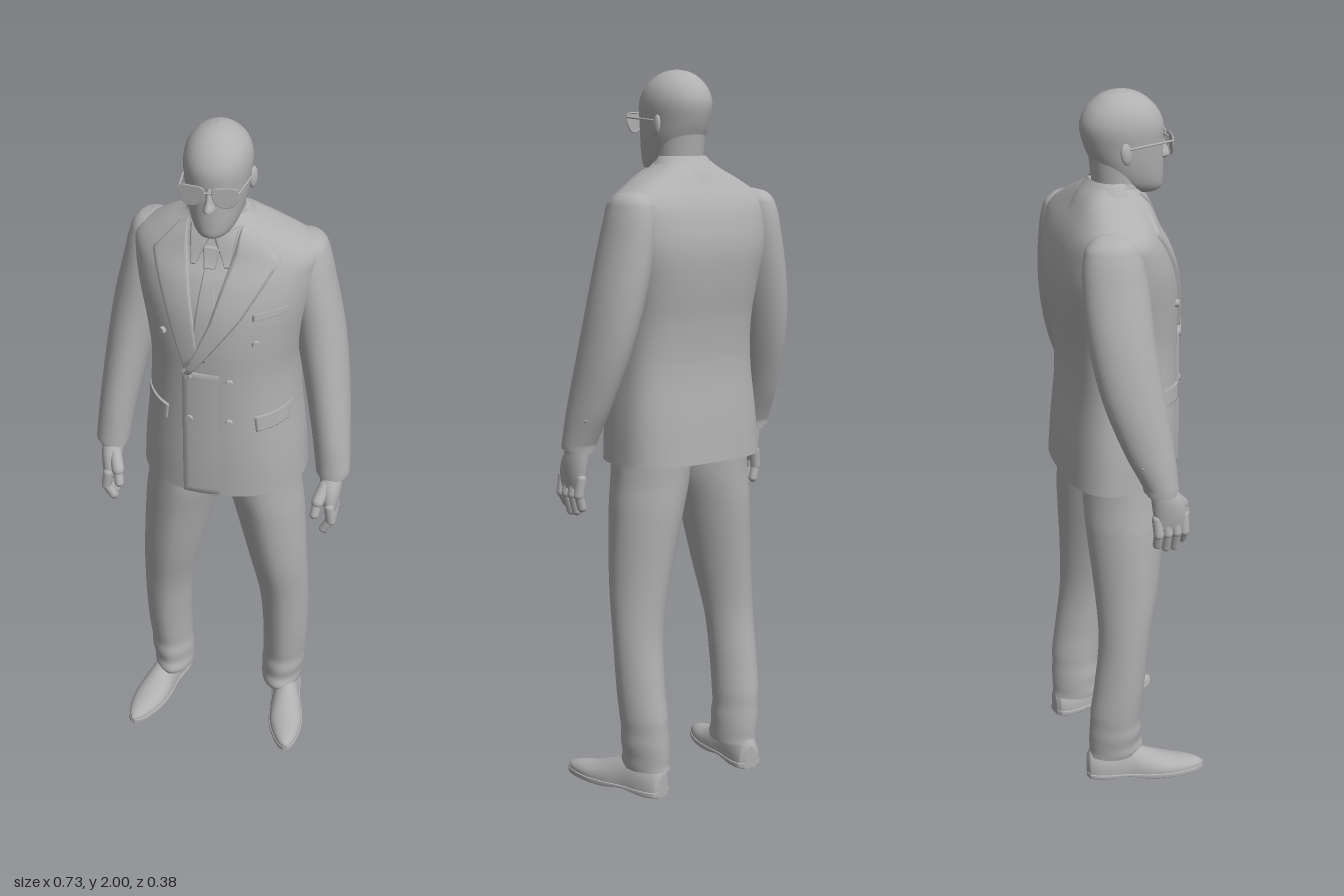
import * as THREE from 'three';

const grey = new THREE.MeshStandardMaterial({ color: 0xb0b0b0, side: THREE.DoubleSide });
grey.name = 'grey';

function add(parent, name, geometry) {
  const mesh = new THREE.Mesh(geometry, grey);
  mesh.name = name;
  parent.add(mesh);
  return mesh;
}

// Section: [y, centreX, centreZ, halfWidth, frontDepth, backDepth], smoothly interpolated by y
function sectionAt(secs, y) {
  let i = 0;
  while (i < secs.length - 2 && y > secs[i + 1][0]) i++;
  const h = secs[i + 1][0] - secs[i][0];
  const t = THREE.MathUtils.clamp((y - secs[i][0]) / h, 0, 1);
  const slope = (k, c) => {
    const a = secs[Math.max(k - 1, 0)], b = secs[Math.min(k + 1, secs.length - 1)];
    return (b[c] - a[c]) / (b[0] - a[0]);
  };
  return secs[i].map((v, c) => {
    if (c === 0) return y;
    const w = secs[i + 1][c], t2 = t * t, t3 = t2 * t;
    const r = (2 * t3 - 3 * t2 + 1) * v + (t3 - 2 * t2 + t) * h * slope(i, c)
      + (3 * t2 - 2 * t3) * w + (t3 - t2) * h * slope(i + 1, c);
    return c > 2 ? Math.max(r, 0.001) : r;
  });
}

// Skin over superellipse sections; pf and pb set the squareness of front and back
function loft(sections, { pf = 2, pb = 2, steps = 5, seg = 40, arc = null } = {}) {
  const secs = [...sections].sort((a, b) => a[0] - b[0]);
  const pos = [], idx = [], rings = [];
  for (let i = 0; i < secs.length - 1; i++)
    for (let k = 0; k < steps; k++) rings.push(sectionAt(secs, secs[i][0] + (secs[i + 1][0] - secs[i][0]) * k / steps));
  rings.push(secs[secs.length - 1]);
  const [a0, a1] = arc || [0, Math.PI * 2];
  const n = arc ? seg + 1 : seg;
  const ringPoints = ([y, cx, cz, rx, f, b]) => {
    for (let j = 0; j < n; j++) {
      const a = a0 + (a1 - a0) * j / seg, c = Math.cos(a), s = Math.sin(a), p = 2 / (s > 0 ? pf : pb);
      pos.push(cx + rx * Math.sign(c) * Math.abs(c) ** p, y, cz + (s > 0 ? f : b) * Math.sign(s) * Math.abs(s) ** p);
    }
  };
  rings.forEach(ringPoints);
  for (let i = 0; i < rings.length - 1; i++)
    for (let j = 0; j < seg; j++) {
      const k = (j + 1) % n, a = i * n + j, b = i * n + k;
      idx.push(a, a + n, b, b, a + n, b + n);
    }
  if (!arc) [[rings[0], 0], [rings[rings.length - 1], 1]].forEach(([r, top]) => {
    const start = pos.length / 3;
    ringPoints(r);
    pos.push(r[1], r[0], r[2]);
    for (let j = 0; j < n; j++) {
      const a = start + j, b = start + (j + 1) % n;
      idx.push(...(top ? [start + n, b, a] : [start + n, a, b]));
    }
  });
  return finish(pos, idx);
}

function finish(pos, idx) {
  const g = new THREE.BufferGeometry();
  g.setAttribute('position', new THREE.Float32BufferAttribute(pos, 3));
  g.setIndex(idx);
  g.computeVertexNormals();
  return g;
}

const torso = [
  [0.935, 0, -0.04, 0.232, 0.192, 0.14], [1.05, 0, -0.04, 0.225, 0.195, 0.132],
  [1.2, 0, -0.04, 0.209, 0.195, 0.12], [1.32, 0, -0.045, 0.205, 0.2, 0.122],
  [1.42, 0, -0.05, 0.218, 0.205, 0.132], [1.52, 0, -0.06, 0.24, 0.203, 0.13],
  [1.6, 0, -0.06, 0.25, 0.175, 0.118], [1.65, 0, -0.06, 0.245, 0.146, 0.1],
  [1.7, -0.003, -0.05, 0.172, 0.118, 0.08], [1.735, -0.006, -0.04, 0.102, 0.093, 0.066],
  [1.755, -0.01, -0.03, 0.074, 0.073, 0.056],
];
const torsoPower = 2.2;

// Depth of the jacket front at a point
function chest(x, y) {
  const [, cx, cz, rx, f] = sectionAt(torso, y);
  const u = Math.min(1, Math.abs(x - cx) / rx);
  return cz + f * (1 - u ** torsoPower) ** (1 / torsoPower);
}

function along(points, t) {
  const u = t * (points.length - 1), i = Math.min(Math.floor(u), points.length - 2), k = u - i;
  return points[i].map((v, c) => v + (points[i + 1][c] - v) * k);
}

// Cloth panel lying on the chest between two edge lines, with its rim tucked in
function panel(edgeA, edgeB, liftA, liftB = liftA) {
  const rows = 24, cols = 10, pos = [], idx = [];
  for (let i = -1; i <= rows + 1; i++)
    for (let j = -1; j <= cols + 1; j++) {
      const t = THREE.MathUtils.clamp(i / rows, 0, 1), s = THREE.MathUtils.clamp(j / cols, 0, 1);
      const a = along(edgeA, t), b = along(edgeB, t);
      const x = a[0] + (b[0] - a[0]) * s, y = a[1] + (b[1] - a[1]) * s;
      const rim = i < 0 || j < 0 || i > rows || j > cols;
      pos.push(x, y, chest(x, y) + (rim ? -0.006 : liftA + (liftB - liftA) * s));
    }
  const w = cols + 3;
  for (let i = 0; i < rows + 2; i++)
    for (let j = 0; j < cols + 2; j++) {
      const a = i * w + j;
      idx.push(a, a + w, a + 1, a + 1, a + w, a + w + 1);
    }
  return finish(pos, idx);
}

function capsule(parent, name, a, b, r) {
  const p = new THREE.Vector3(...a), q = new THREE.Vector3(...b), d = q.clone().sub(p);
  const m = add(parent, name, new THREE.CapsuleGeometry(r, d.length(), 5, 12));
  m.position.copy(p).add(q).multiplyScalar(0.5);
  m.quaternion.setFromUnitVectors(new THREE.Vector3(0, 1, 0), d.normalize());
}

function ball(parent, name, p, size) {
  const m = add(parent, name, new THREE.SphereGeometry(1, 20, 14));
  m.position.set(...p);
  m.scale.set(...size);
  return m;
}

function buildJacket(g) {
  g.rotation.y = -0.04;
  add(g, 'jacketBody', loft(torso, { pf: torsoPower, pb: 2.8, seg: 96 }));
  add(g, 'jacketCollar', loft([[1.69, -0.008, -0.035, 0.125, 0.09, 0.102], [1.73, -0.01, -0.03, 0.1, 0.075, 0.084],
    [1.762, -0.01, -0.025, 0.076, 0.06, 0.062], [1.768, -0.01, -0.025, 0.07, 0.056, 0.057]], { arc: [Math.PI - 0.35, Math.PI * 2 + 0.35] }));
  add(g, 'frontOverlap', panel([[-0.075, 1.34], [-0.075, 0.937]], [[0.1, 1.34], [0.1, 0.937]], 0.007, -0.005));
  // Tie and shirt collar
  add(g, 'tieBlade', panel([[-0.024, 1.64], [-0.04, 1.5], [-0.05, 1.38]], [[0, 1.64], [0.018, 1.5], [-0.01, 1.38]], 0.006));
  add(g, 'tieKnot', panel([[-0.033, 1.685], [-0.026, 1.635]], [[0.011, 1.685], [0.004, 1.635]], 0.011));
  add(g, 'shirtCollarRight', panel([[-0.075, 1.735], [-0.062, 1.64]], [[-0.014, 1.715], [-0.05, 1.64]], 0.01));
  add(g, 'shirtCollarLeft', panel([[-0.008, 1.715], [0.028, 1.64]], [[0.055, 1.735], [0.04, 1.64]], 0.01));
  // Peaked lapels, the left one crossing over
  add(g, 'rightLapel', panel([[-0.112, 1.72], [-0.175, 1.65], [-0.125, 1.52], [-0.07, 1.35]],
    [[-0.085, 1.735], [-0.078, 1.68], [-0.045, 1.5], [-0.03, 1.39]], 0.009));
  add(g, 'leftLapel', panel([[0.06, 1.735], [0.05, 1.68], [0, 1.5], [-0.068, 1.335]],
    [[0.095, 1.72], [0.165, 1.655], [0.085, 1.52], [-0.052, 1.335]], 0.012));
  // Pockets
  add(g, 'rightPocketFlap', panel([[-0.2, 1.21], [-0.197, 1.165]], [[-0.12, 1.205], [-0.125, 1.16]], 0.009));
  add(g, 'leftPocketFlap', panel([[0.12, 1.205], [0.125, 1.16]], [[0.2, 1.21], [0.197, 1.165]], 0.009));
  add(g, 'breastPocket', panel([[0.11, 1.528], [0.11, 1.51]], [[0.195, 1.54], [0.195, 1.522]], 0.006));
  // Double row of buttons
  for (const [x, y] of [[-0.135, 1.44], [0.122, 1.44], [-0.058, 1.325], [0.055, 1.32], [-0.055, 1.19], [0.055, 1.19]]) {
    const b = add(g, 'jacketButton', new THREE.CylinderGeometry(0.01, 0.011, 0.01, 16));
    b.position.set(x, y, chest(x, y) + 0.006);
    const e = 0.01, n = new THREE.Vector3(chest(x - e, y) - chest(x + e, y), chest(x, y - e) - chest(x, y + e), 2 * e);
    b.quaternion.setFromUnitVectors(new THREE.Vector3(0, 1, 0), n.normalize());
  }
}

function buildHead(g) {
  const cx = -0.012;
  add(g, 'neck', loft([[1.68, cx, -0.015, 0.07, 0.06, 0.06], [1.75, cx, -0.01, 0.067, 0.057, 0.065], [1.83, cx, -0.01, 0.07, 0.06, 0.074]]));
  add(g, 'shirtCollarBand', loft([[1.69, cx, -0.02, 0.078, 0.078, 0.06], [1.75, cx, -0.015, 0.072, 0.064, 0.062], [1.764, cx, -0.013, 0.068, 0.056, 0.06]]));
  add(g, 'skull', loft([
    [1.722, cx, 0.075, 0.018, 0.024, 0.025], [1.733, cx, 0.055, 0.042, 0.06, 0.05], [1.76, cx, 0.03, 0.062, 0.089, 0.08],
    [1.81, cx, 0.01, 0.077, 0.108, 0.086], [1.86, cx, 0.005, 0.084, 0.112, 0.103], [1.91, cx, 0, 0.088, 0.117, 0.108],
    [1.95, cx, 0, 0.078, 0.098, 0.094], [1.98, cx, 0, 0.054, 0.066, 0.064], [1.995, cx, 0, 0.027, 0.034, 0.033], [2, cx, 0, 0.002, 0.002, 0.002],
  ], { pf: 2.1, seg: 48 }));
  add(g, 'nose', loft([[1.806, cx, 0.108, 0.008, 0.016, 0.02], [1.816, cx, 0.108, 0.017, 0.036, 0.02],
    [1.84, cx, 0.106, 0.011, 0.026, 0.02], [1.875, cx, 0.106, 0.009, 0.013, 0.02]], { seg: 20 }));
  ball(g, 'upperLip', [cx, 1.786, 0.108], [0.028, 0.005, 0.011]);
  ball(g, 'lowerLip', [cx, 1.777, 0.106], [0.025, 0.006, 0.012]);
  ball(g, 'chin', [cx, 1.747, 0.096], [0.028, 0.02, 0.022]);

  // Teardrop sunglasses
  const outline = [[-0.03, 0.022], [0, 0.026], [0.031, 0.022], [0.034, 0.002], [0.02, -0.021], [-0.002, -0.026], [-0.024, -0.012]];
  for (const s of [1, -1]) {
    const pts = outline.map(([x, y]) => new THREE.Vector3(s * x, y, 0));
    const curve = new THREE.CatmullRomCurve3(pts, true);
    const lensGroup = new THREE.Group();
    lensGroup.name = s > 0 ? 'leftLens' : 'rightLens';
    lensGroup.position.set(cx + s * 0.042, 1.857, 0.126);
    lensGroup.rotation.y = s * 0.18;
    add(lensGroup, 'lens', new THREE.ExtrudeGeometry(new THREE.Shape(curve.getPoints(36).slice(0, -1).map(p => new THREE.Vector2(p.x, p.y))), { depth: 0.003, bevelEnabled: false }));
    add(lensGroup, 'rim', new THREE.TubeGeometry(curve, 40, 0.0025, 6, true));
    g.add(lensGroup);
    capsule(g, 'temple', [cx + s * 0.077, 1.872, 0.12], [cx + s * 0.09, 1.862, -0.015], 0.003);
    const ear = ball(g, s > 0 ? 'leftEar' : 'rightEar', [cx + s * 0.087, 1.85, -0.013], [0.009, 0.029, 0.017]);
    ear.rotation.set(-0.15, s * -0.3, 0);
  }
  capsule(g, 'glassesBridge', [cx - 0.014, 1.868, 0.13], [cx + 0.014, 1.868, 0.13], 0.003);
}

function buildArm(g, s) {
  // The right arm hangs a little further back
  g.position.z = s > 0 ? -0.003 : -0.03;
  const side = secs => secs.map(([y, x, ...r]) => [y, s * x, ...r]);
  add(g, 'sleeve', loft(side([
    [1.678, 0.2, -0.06, 0.012, 0.015, 0.02], [1.668, 0.209, -0.06, 0.038, 0.043, 0.05], [1.64, 0.213, -0.06, 0.055, 0.068, 0.076],
    [1.55, 0.226, -0.058, 0.065, 0.086, 0.09], [1.4, 0.256, -0.05, 0.068, 0.088, 0.092], [1.25, 0.283, -0.03, 0.062, 0.086, 0.085],
    [1.1, 0.306, 0.01, 0.053, 0.066, 0.072], [1.0, 0.318, 0.036, 0.048, 0.048, 0.05], [0.985, 0.319, 0.038, 0.047, 0.047, 0.049],
  ])));
  add(g, 'shirtCuff', loft(side([[0.972, 0.318, 0.04, 0.039, 0.041, 0.041], [1.0, 0.318, 0.038, 0.041, 0.042, 0.042]])));
  for (const y of [1.02, 1.045, 1.07])
    ball(g, 'cuffButton', [s * (0.345 - (y - 1.02) * 0.05), y, 0.002 - (y - 1.02) * 0.5], [0.008, 0.007, 0.008]);
  add(g, 'palm', loft(side([[0.985, 0.316, 0.042, 0.03, 0.033, 0.033], [0.95, 0.318, 0.055, 0.03, 0.044, 0.044],
    [0.91, 0.32, 0.062, 0.025, 0.048, 0.046], [0.872, 0.323, 0.065, 0.015, 0.044, 0.042]])));
  [[0.025, 0.028, 0.82], [0.052, 0.054, 0.807], [0.077, 0.08, 0.804], [0.102, 0.102, 0.824]].forEach(([z0, z1, y], i) => {
    capsule(g, 'finger', [s * 0.322, 0.9, z0], [s * 0.328, 0.855, z1], 0.0145);
    capsule(g, 'fingertip', [s * 0.328, 0.855, z1], [s * (0.318 - i * 0.003), y, z1], 0.013);
  });
  capsule(g, 'thumbBase', [s * 0.305, 0.955, 0.075], [s * 0.29, 0.92, 0.108], 0.018);
  capsule(g, 'thumb', [s * 0.29, 0.92, 0.108], [s * 0.284, 0.885, 0.122], 0.0135);
}

function buildLeg(g, s) {
  add(g, 'trouserLeg', loft([
    [0.97, 0.107, -0.03, 0.109, 0.13, 0.115], [0.88, 0.114, -0.03, 0.109, 0.127, 0.112], [0.8, 0.129, -0.03, 0.104, 0.118, 0.11],
    [0.6, 0.159, -0.03, 0.086, 0.089, 0.095], [0.45, 0.177, -0.045, 0.074, 0.073, 0.075], [0.3, 0.182, -0.06, 0.068, 0.072, 0.077],
    [0.22, 0.18, -0.07, 0.066, 0.074, 0.078], [0.18, 0.178, -0.072, 0.064, 0.072, 0.077], [0.145, 0.176, -0.072, 0.065, 0.077, 0.079],
    [0.11, 0.173, -0.074, 0.062, 0.077, 0.077], [0.085, 0.172, -0.072, 0.061, 0.084, 0.078], [0.07, 0.171, -0.074, 0.059, 0.082, 0.078],
  ].map(([y, x, ...r]) => [y, s * x, ...r]), { pf: 1.8, pb: 1.85 }));
  // Shoe, lofted heel to toe and laid flat
  const shoe = new THREE.Group();
  shoe.name = 'shoe';
  const length = [[-0.15, 0.018, 0.045], [-0.14, 0.034, 0.065], [-0.1, 0.043, 0.075], [-0.03, 0.042, 0.078], [0.03, 0.048, 0.055],
    [0.09, 0.048, 0.034], [0.145, 0.035, 0.024], [0.18, 0.019, 0.014], [0.194, 0.004, 0.004]];
  add(shoe, 'shoeUpper', loft(length.map(([z, w, h]) => [z, 0, -0.02, w, 0.016, h]), { pf: 5 }).rotateX(Math.PI / 2));
  add(shoe, 'shoeSole', loft(length.map(([z, w]) => [z, 0, -0.012, w + 0.003, z > -0.06 && z < 0.03 ? 0.004 : 0.012, 0.006]), { pf: 6, pb: 6 }).rotateX(Math.PI / 2));
  shoe.position.set(s * 0.2, 0, s > 0 ? 0 : -0.012);
  shoe.rotation.y = s > 0 ? 0.17 : -0.26;
  g.add(shoe);
}

export function createModel() {
  const model = new THREE.Group();
  model.name = 'suitedMan';
  const part = (name, build, ...args) => {
    const g = new THREE.Group();
    g.name = name;
    build(g, ...args);
    model.add(g);
  };
  part('head', buildHead);
  part('jacket', buildJacket);
  for (const s of [1, -1]) {
    const label = s > 0 ? 'left' : 'right';
    part(label + 'Arm', buildArm, s);
    part(label + 'Leg', buildLeg, s);
  }
  return model;
}
